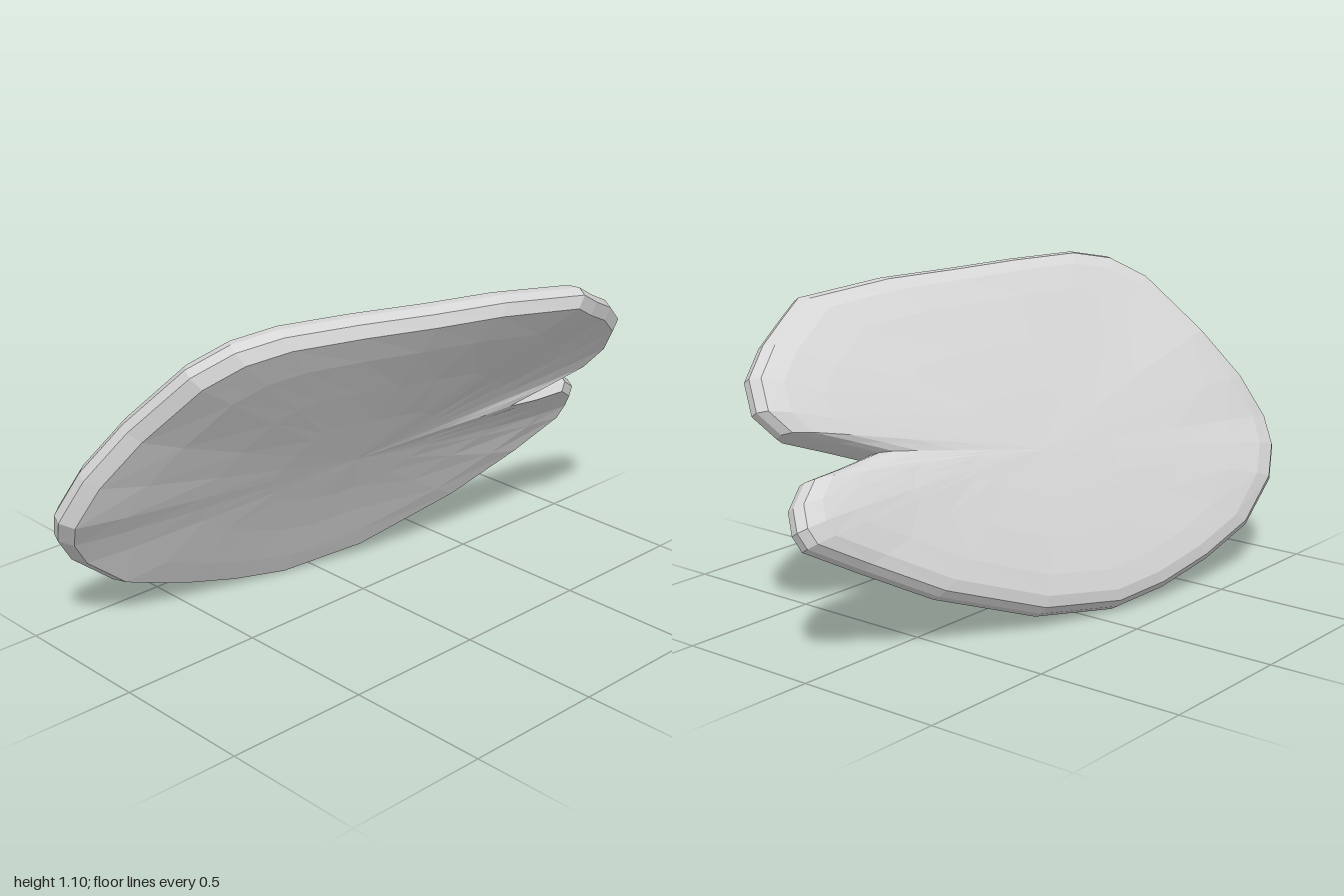
import * as THREE from 'three';

// Rim of the pad, counterclockwise seen from the front: x, y, z of the edge's middle
const RIM = [
  [-1, 0.48, -0.335], [-0.97, 0.39, -0.39], [-0.9, 0.29, -0.425], [-0.74, 0.16, -0.43],
  [-0.52, 0.085, -0.41], [-0.3, 0.035, -0.38], [-0.1, 0.012, -0.34], [0.2, 0.05, -0.255],
  [0.56, 0.18, -0.135], [0.8, 0.31, -0.045], [0.98, 0.41, 0.005], [1, 0.46, 0.025],
  [0.97, 0.52, 0.07], [0.88, 0.573, 0.11], [0.74, 0.58, 0.115], [0.59, 0.595, 0.115],
  [0.72, 0.645, 0.165], [0.87, 0.7, 0.215], [0.92, 0.77, 0.265], [0.89, 0.86, 0.325],
  [0.78, 0.94, 0.375], [0.65, 1.0, 0.42], [0.56, 1.05, 0.44], [0.25, 1.08, 0.375],
  [0, 1.085, 0.31], [-0.25, 1.094, 0.24], [-0.5, 1.096, 0.17], [-0.64, 1.067, 0.11],
  [-0.75, 0.995, 0.03], [-0.86, 0.8, -0.145], [-0.95, 0.63, -0.26],
].map((p) => new THREE.Vector3(...p));
const CENTRE = { x: 0, y: 0.51 };
const UP = new THREE.Vector3(0.19, 0.505, -0.84); // upper side of the tilted pad

// Gently curved middle surface
const surface = (x, y) => 0.21 * x + 0.6 * y - 0.38 + 0.2 * (y - 0.55) ** 2 - 0.07 * x * x;

// One ring of the pad: rim scaled towards the centre, eased onto the middle surface,
// and moved along the thickness
function ring(scale, offset) {
  return RIM.map((p) => {
    const x = CENTRE.x + (p.x - CENTRE.x) * scale;
    const y = CENTRE.y + (p.y - CENTRE.y) * scale;
    const z = surface(x, y) + (p.z - surface(p.x, p.y)) * scale ** 3;
    return new THREE.Vector3(x, y, z).addScaledVector(UP, offset);
  });
}

function padGeometry() {
  const t = 0.058;
  // Scale of each ring and its place in the thickness, from underside to upper side
  const rings = [
    [0, -1.05], [0.3, -1.05], [0.55, -1.05], [0.8, -1.05], [0.96, -0.95],
    [1, -0.35], [1, 0.25], [0.975, 0.75], [0.91, 1.02],
    [0.78, 1.1], [0.55, 1.1], [0.3, 1.1], [0, 1.1],
  ].map(([scale, h]) => ring(scale, h * t));
  const pos = [];
  const tri = (...v) => v.forEach((p) => pos.push(p.x, p.y, p.z));
  for (let k = 0; k < rings.length - 1; k++) {
    for (let i = 0; i < RIM.length; i++) {
      const j = (i + 1) % RIM.length;
      const [a, b, c, d] = [rings[k][i], rings[k + 1][i], rings[k + 1][j], rings[k][j]];
      if (k < rings.length - 2) tri(a, b, c);
      if (k > 0) tri(a, c, d);
    }
  }
  const g = new THREE.BufferGeometry();
  g.setAttribute('position', new THREE.Float32BufferAttribute(pos, 3));
  g.computeVertexNormals();
  return g;
}

export function createModel() {
  const group = new THREE.Group();
  group.name = 'notchedPad';
  const grey = new THREE.MeshStandardMaterial({ color: 0xd6d6d6, flatShading: true });
  grey.name = 'light grey';
  const pad = new THREE.Mesh(padGeometry(), grey);
  pad.name = 'pad';
  group.add(pad);
  return group;
}
